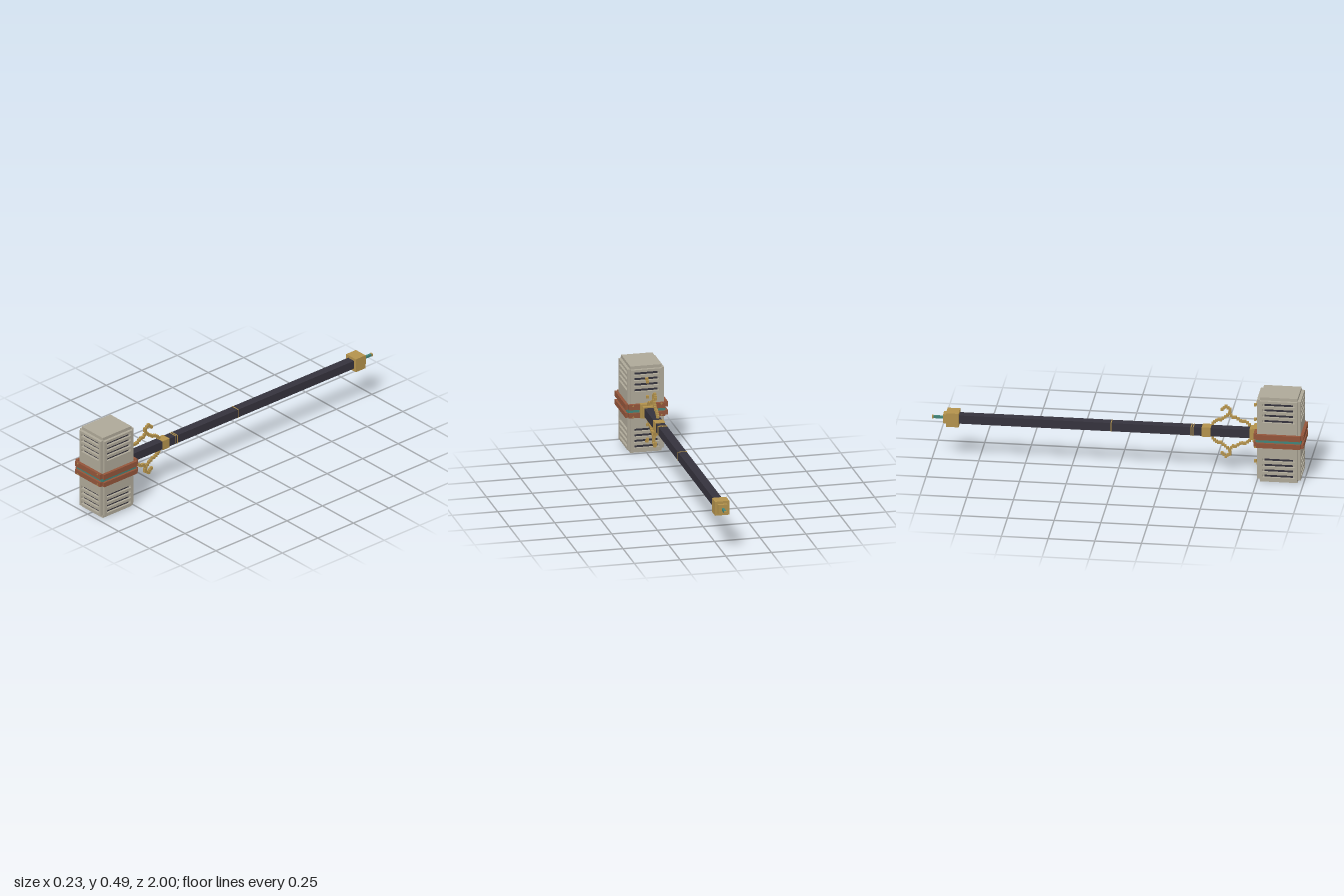
import * as THREE from 'three';

const mat = (name, color) => Object.assign(new THREE.MeshStandardMaterial({ color }), { name });

export function createModel() {
  const stone = mat('stone', 0xaea898), rust = mat('rust', 0x93553a), teal = mat('teal', 0x42857a);
  const dark = mat('dark', 0x35333d), gold = mat('gold', 0xb3924c);
  const CY = 0.2425, HZ = 0.8675; // handle axis height, head centre depth
  const root = new THREE.Group();
  root.name = 'warHammer';

  const box = (parent, name, m, w, h, d, x = 0, y = 0, z = 0) => {
    const b = new THREE.Mesh(new THREE.BoxGeometry(w, h, d), m);
    b.name = name;
    b.position.set(x, y, z);
    parent.add(b);
    return b;
  };
  const group = (name, y, z) => {
    const g = new THREE.Group();
    g.name = name;
    g.position.set(0, y, z);
    root.add(g);
    return g;
  };

  // Head: core block with a slotted panel on each side
  const head = group('head', CY, HZ);
  box(head, 'headCore', stone, 0.17, 0.485, 0.201);
  const slots = [0.111, 0.142, 0.173, 0.204].flatMap(y => [y, -y]);

  const rect = (P, w, h, y = 0) => {
    const p = new P();
    p.moveTo(-w, y - h); p.lineTo(w, y - h); p.lineTo(w, y + h); p.lineTo(-w, y + h);
    p.closePath();
    return p;
  };
  const bandRows = [[-0.024, 0.027], [0.0225, 0.03]];

  for (let i = 0; i < 4; i++) {
    const onZ = i % 2 === 0;
    const half = onZ ? 0.085 : 0.1;       // panel half width
    const inner = onZ ? 0.1005 : 0.085;   // distance of the core face
    const thick = onZ ? 0.017 : 0.0155;
    const slot = half - 0.015;
    const side = new THREE.Group();
    side.name = 'headSide' + (i + 1);
    side.rotation.y = i * Math.PI / 2;
    head.add(side);

    // Panel with vent openings and dark backs
    const shape = rect(THREE.Shape, half, 0.2255);
    for (const y of slots) shape.holes.push(rect(THREE.Path, slot, 0.008, y));
    const panel = new THREE.Mesh(new THREE.ExtrudeGeometry(shape, { depth: thick, bevelEnabled: false }), stone);
    panel.name = 'ventPanel';
    panel.position.z = inner;
    side.add(panel);
    for (const y of slots) box(side, 'ventBack', dark, (slot - 0.008) * 2, 0.016, 0.004, 0, y, inner + 0.001);

    // Band plates above and below an inlaid strip
    const face = inner + thick, bw = onZ ? 0.201 : 0.235;
    for (const [y, h] of bandRows) box(side, 'bandPlate', rust, bw, h, 0.016, 0, y, face + 0.008);
    box(side, 'bandInlay', teal, bw, 0.02, 0.004, 0, -0.0015, face + 0.002);

    // Small cross studs on front and back
    if (onZ) for (const x of [-0.078, 0.078]) for (const y of [-0.031, 0.031]) {
      box(side, 'crossStud', gold, 0.014, 0.002, 0.001, x, y, face + 0.0163);
      box(side, 'crossStud', gold, 0.002, 0.012, 0.001, x, y, face + 0.0163);
    }
  }

  // Handle with collar, rings and pommel; each fitting is [name, width, front z, back z]
  const handle = group('handle', CY, 0);
  box(handle, 'shaft', dark, 0.047, 0.047, 1.6, 0, 0, -0.06);
  const fittings = [
    ['collarPlate', 0.078, 0.752, 0.722], ['collar', 0.06, 0.722, 0.703],
    ['gripRing', 0.054, 0.495, 0.447],
    ['thinRing', 0.05, 0.404, 0.399], ['thinRing', 0.05, 0.393, 0.388],
    ['thinRing', 0.05, -0.036, -0.041],
    ['pommel', 0.078, -0.853, -0.921], ['pommelStep', 0.05, -0.921, -0.938],
  ];
  for (const [name, w, a, b] of fittings) box(handle, name, gold, w, w, a - b, 0, 0, (a + b) / 2);
  box(handle, 'spike', teal, 0.013, 0.013, 0.055, 0, 0, -0.9655);
  box(handle, 'spikeTip', gold, 0.015, 0.015, 0.008, 0, 0, -0.996);

  // Filigree of small cubes as [z, height over the axis], mirrored top and bottom
  const filigree = group('filigree', CY, 0);
  const cubes = [
    [0.70, 0.045], [0.69, 0.055], [0.677, 0.063], [0.664, 0.063], [0.651, 0.066], [0.638, 0.075],
    [0.625, 0.083], [0.612, 0.083], [0.602, 0.094], [0.592, 0.105], [0.582, 0.094], [0.57, 0.083],
    [0.557, 0.075], [0.546, 0.066], [0.535, 0.066], [0.523, 0.06], [0.512, 0.052], [0.503, 0.042],
    [0.596, 0.117], [0.596, 0.128], [0.584, 0.136], [0.573, 0.144], [0.563, 0.134], [0.553, 0.125],
    [0.744, 0.174], [0.731, 0.161], [0.731, 0.078],
  ];
  for (const s of [1, -1]) for (const [z, y] of cubes) box(filigree, 'filigreeBead', gold, 0.015, 0.014, 0.014, 0, s * y, z);

  return root;
}
